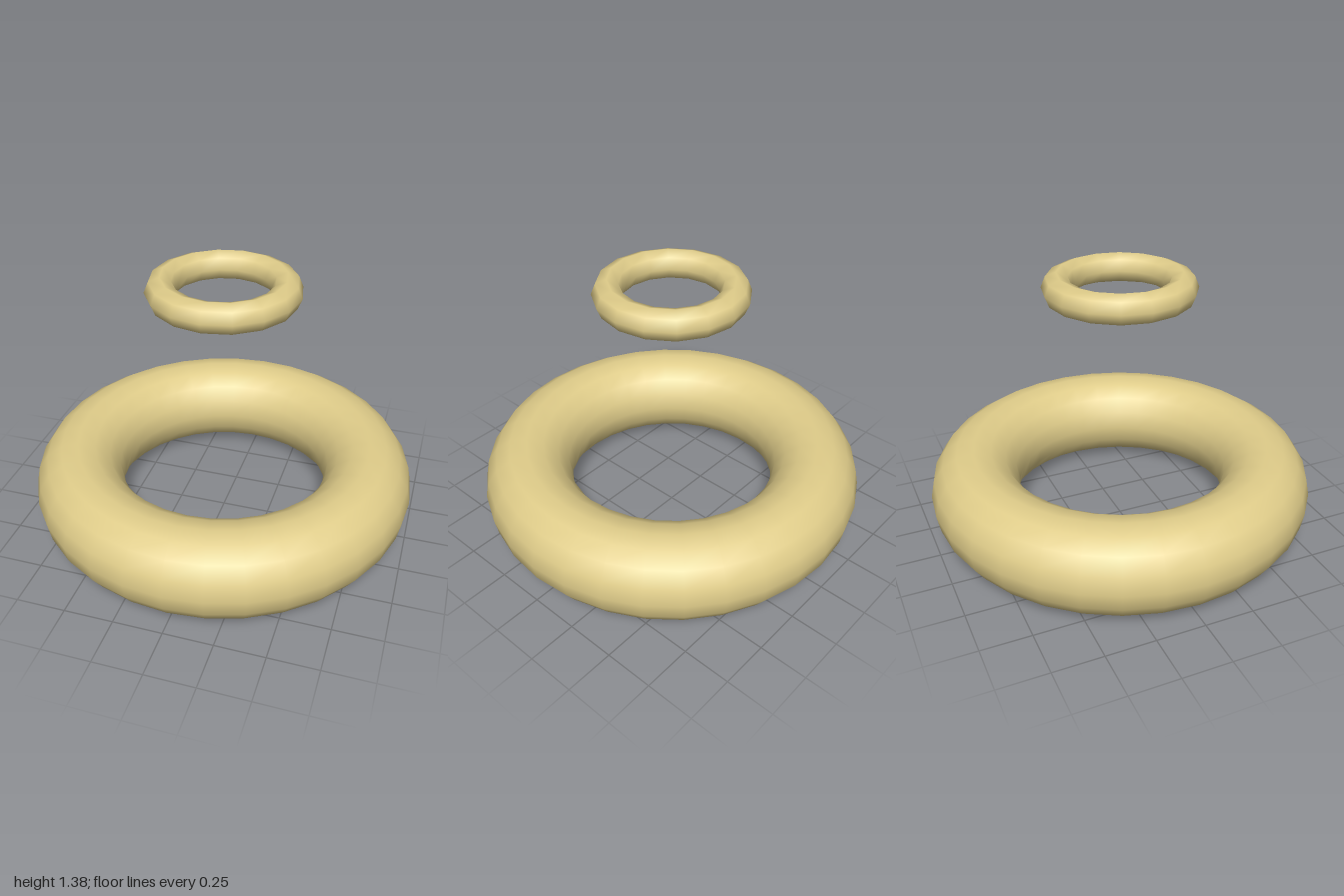
import * as THREE from 'three';

export function createModel() {
  const model = new THREE.Group();
  model.name = 'floatingRings';
  const material = new THREE.MeshStandardMaterial({ color: 0xe0cd8a });

  // A smooth ring lying flat, centred at height y
  function addRing(name, radius, tube, tubeSides, ringSides, y) {
    const geometry = new THREE.TorusGeometry(radius, tube, tubeSides, ringSides);
    geometry.rotateX(-Math.PI / 2);
    const ring = new THREE.Mesh(geometry, material);
    ring.name = name;
    ring.position.y = y;
    model.add(ring);
  }

  // Thick ring on the ground, thin ring hovering above it
  addRing('baseRing', 0.769, 0.231, 16, 32, 0.231);
  addRing('hoveringRing', 0.308, 0.077, 8, 16, 1.308);

  return model;
}
